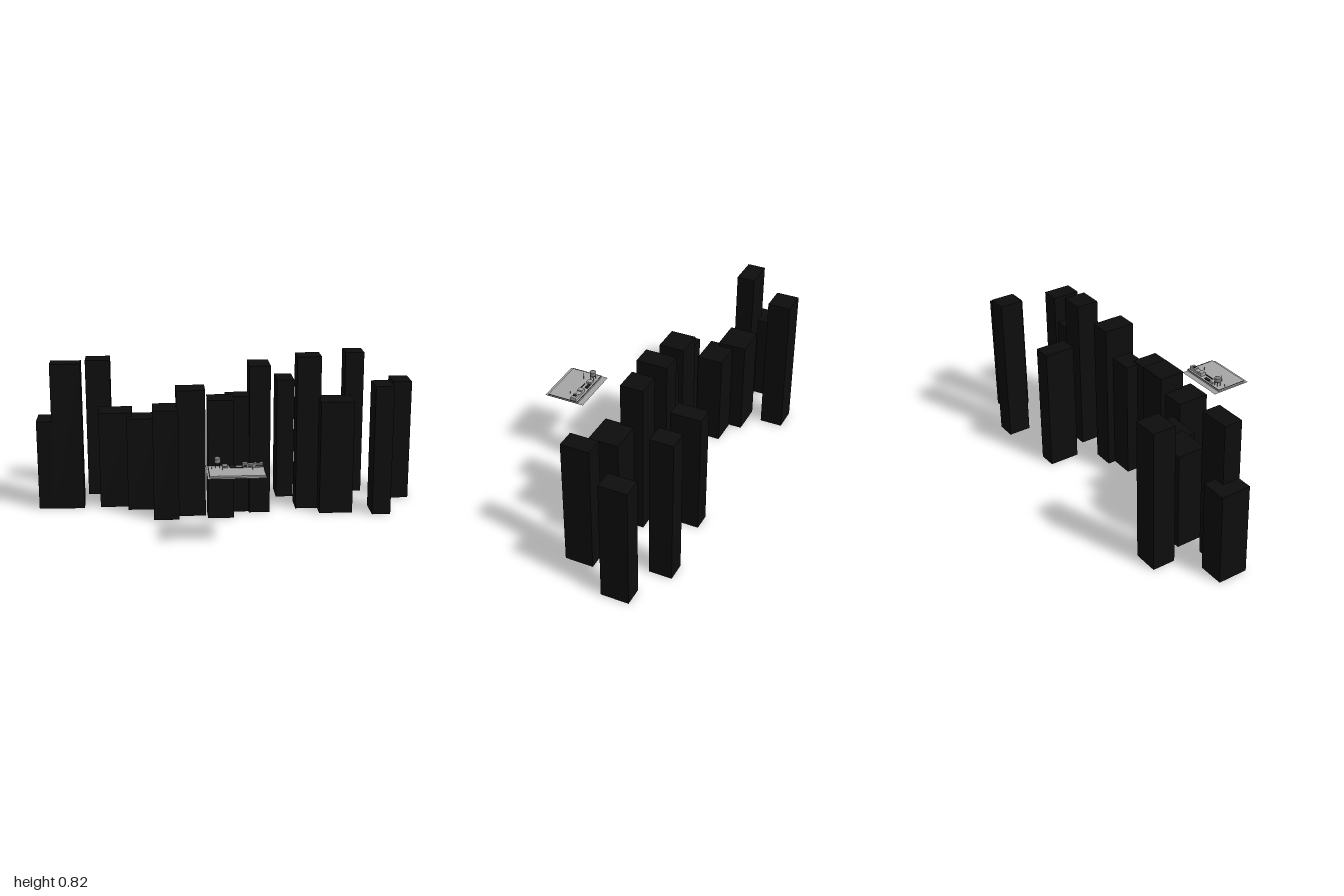
import * as THREE from 'three';

export function createModel() {
  const model = new THREE.Group();
  const mat = (name, color, side = THREE.FrontSide) => {
    const m = new THREE.MeshStandardMaterial({ color, side });
    m.name = name;
    return m;
  };
  const black = mat('skyline black', 0x0d0d0d);
  const grey = mat('concrete grey', 0xa6a6a6);
  const sheet = mat('ledge grey', 0xa0a0a0, THREE.DoubleSide);
  const dark = mat('dark metal', 0x262626);
  const mid = mat('tank grey', 0x808080);

  const add = (name, geometry, material, x, y, z, parent = model) => {
    const mesh = new THREE.Mesh(geometry, material);
    mesh.name = name;
    mesh.position.set(x, y, z);
    parent.add(mesh);
    return mesh;
  };
  // Box given by its limits on each axis
  const box = (name, material, x0, x1, y0, y1, z0, z1, parent) =>
    add(name, new THREE.BoxGeometry(x1 - x0, y1 - y0, z1 - z0), material,
      (x0 + x1) / 2, (y0 + y1) / 2, (z0 + z1) / 2, parent);

  // Skyline towers: x0, x1, z0, z1, height
  const skyline = new THREE.Group();
  skyline.name = 'skyline';
  model.add(skyline);
  [
    [-1, -0.865, -0.335, -0.18, 0.48],
    [-0.92, -0.76, -0.27, -0.175, 0.787],
    [-0.748, -0.615, -0.53, -0.41, 0.755],
    [-0.675, -0.5, -0.335, -0.185, 0.518],
    [-0.527, -0.35, -0.265, -0.13, 0.5],
    [-0.392, -0.26, -0.12, 0.043, 0.585],
    [-0.27, -0.12, -0.145, -0.012, 0.675],
    [-0.11, 0.025, -0.105, 0.032, 0.632],
    [-0.012, 0.15, -0.17, -0.065, 0.628],
    [0.11, 0.22, -0.21, -0.047, 0.79],
    [0.28, 0.373, -0.46, -0.3, 0.657],
    [0.363, 0.49, -0.213, -0.095, 0.825],
    [0.48, 0.655, -0.165, -0.01, 0.603],
    [0.66, 0.762, -0.495, -0.375, 0.787],
    [0.755, 0.852, -0.12, 0.028, 0.69],
    [0.9, 1, -0.385, -0.24, 0.653],
  ].forEach(([x0, x1, z0, z1, h]) => box('tower', black, x0, x1, 0, h, z0, z1, skyline));

  // Floating rooftop: slab over a thin wider sheet
  const roof = new THREE.Group();
  roof.name = 'rooftop';
  model.add(roof);
  box('roofSlab', grey, -0.126, 0.147, 0.371, 0.379, 0.333, 0.505, roof);
  const ledge = add('roofSheet', new THREE.PlaneGeometry(0.283, 0.222), sheet, 0.0065, 0.3705, 0.412, roof);
  ledge.rotation.x = -Math.PI / 2;

  // Dark gutters along the back and both sides
  box('backGutter', dark, -0.126, 0.147, 0.379, 0.3805, 0.333, 0.336, roof);
  for (const x of [-0.126, 0.144]) box('sideGutter', dark, x, x + 0.003, 0.379, 0.3805, 0.336, 0.505, roof);

  // Water tank on four legs
  const tank = new THREE.Group();
  tank.name = 'waterTank';
  tank.position.set(-0.08, 0.379, 0.36);
  roof.add(tank);
  for (const x of [-0.01, 0.01]) for (const z of [-0.01, 0.01])
    add('tankLeg', new THREE.CylinderGeometry(0.0015, 0.0015, 0.024, 6), dark, x, 0.012, z, tank);
  add('tankBody', new THREE.CylinderGeometry(0.015, 0.015, 0.025, 16), mid, 0, 0.0345, 0, tank);
  add('tankBand', new THREE.CylinderGeometry(0.016, 0.016, 0.002, 16), dark, 0, 0.025, 0, tank);
  add('tankRoof', new THREE.ConeGeometry(0.017, 0.009, 16), mid, 0, 0.0515, 0, tank);

  // Plant boxes with dark grilles on the front
  [[-0.058, -0.03, 0.39], [0.042, 0.068, 0.399], [0.07, 0.1, 0.393], [0.1, 0.143, 0.398]].forEach(([x0, x1, top]) => {
    box('plantBox', grey, x0, x1, 0.379, top, 0.346, 0.374, roof);
    box('grille', dark, x0 + 0.004, x1 - 0.004, 0.383, top - 0.004, 0.374, 0.376, roof);
  });
  box('vent', dark, -0.022, 0.012, 0.379, 0.386, 0.345, 0.36, roof);
  box('pipe', dark, -0.02, 0.045, 0.379, 0.384, 0.376, 0.38, roof);
  box('duct', dark, 0.112, 0.126, 0.398, 0.401, 0.352, 0.37, roof);

  // Thin masts
  [[-0.06, 0.405, 0.036], [-0.11, 0.387, 0.012], [0.09, 0.405, 0.014]].forEach(([x, z, h]) =>
    add('mast', new THREE.CylinderGeometry(0.0015, 0.0015, h, 6), dark, x, 0.379 + h / 2, z, roof));

  return model;
}
